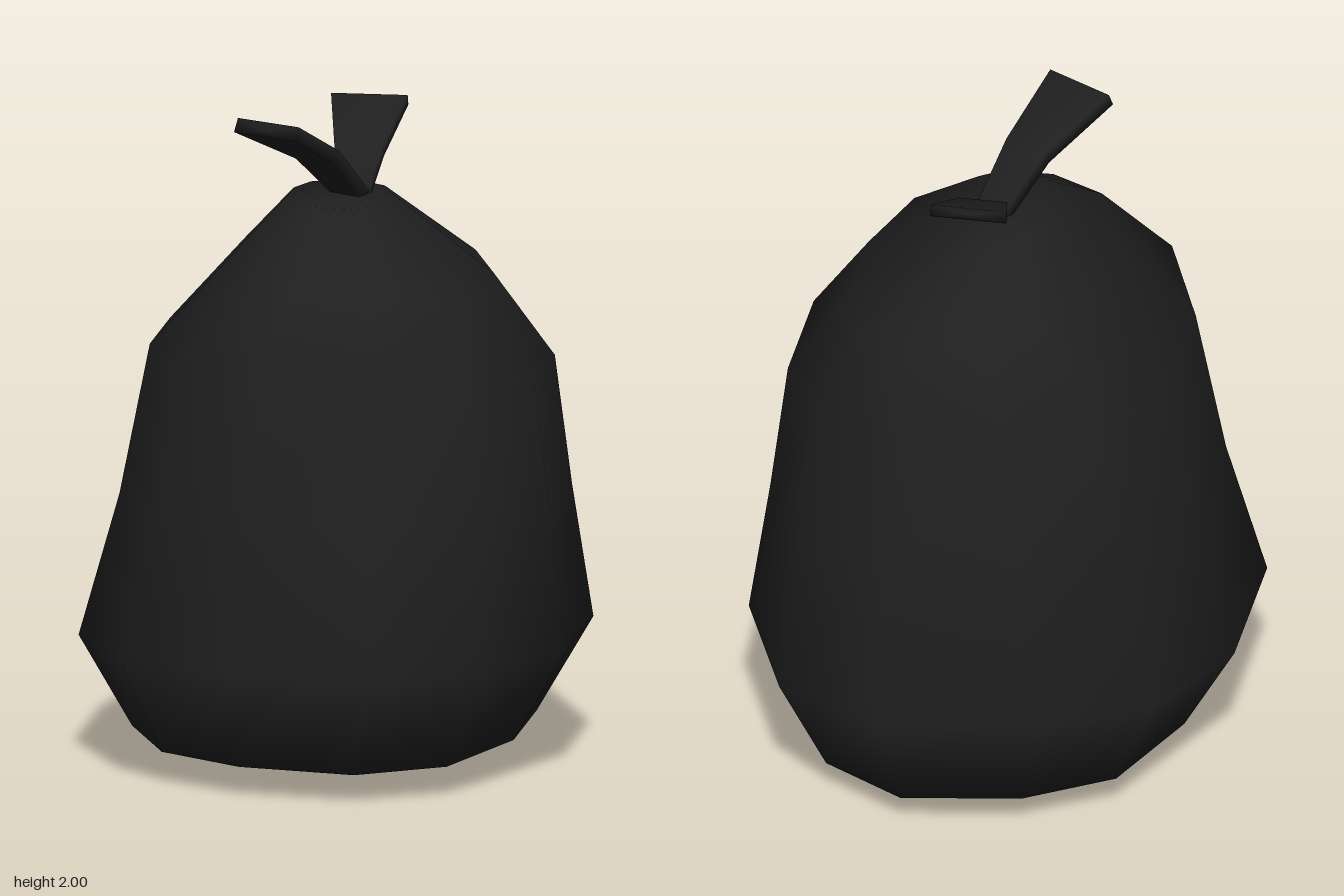
import * as THREE from 'three';

const material = new THREE.MeshStandardMaterial({ color: 0x1f1f1f });

// Skin a stack of equal-sized rings and close both ends, with smooth shared normals
function loft(name, rings) {
  const n = rings[0].length;
  const points = rings.flat();
  const index = [];
  for (let j = 0; j < rings.length - 1; j++) {
    for (let i = 0; i < n; i++) {
      const a = j * n + i, b = j * n + (i + 1) % n;
      index.push(a, a + n, b, b, a + n, b + n);
    }
  }
  const cap = (start, flip) => {
    const centre = new THREE.Vector3();
    for (let i = 0; i < n; i++) centre.addScaledVector(points[start + i], 1 / n);
    const c = points.push(centre) - 1;
    for (let i = 0; i < n; i++) {
      const a = start + i, b = start + (i + 1) % n;
      index.push(c, flip ? a : b, flip ? b : a);
    }
  };
  const last = (rings.length - 1) * n;
  cap(0, true);
  cap(last, false);
  const geometry = new THREE.BufferGeometry().setFromPoints(points);
  geometry.setIndex(index);
  geometry.computeVertexNormals();
  const mesh = new THREE.Mesh(geometry, material);
  mesh.name = name;
  return mesh;
}

// Twelve-sided plan of the sack: one quarter (unit x, unit z, skew share), mirrored around
const quarter = [[1, 0.304, 0], [0.755, 0.795, 1.3], [0.31, 1, 1]];
const mirrored = (sx, sz) => quarter.map(([x, z, k]) => [sx * x, sz * z, sx * k]);
const plan = [
  ...mirrored(1, 1), ...mirrored(-1, 1).reverse(),
  ...mirrored(-1, -1), ...mirrored(1, -1).reverse(),
];

// Sagging body: each row is height, left x, right x, half depth, depth skew, side tilt, front/back lift
function bagBody() {
  const rows = [
    [0.0, -0.2, 0.28, 0.32, 0, 0, 0],
    [0.105, -0.59, 0.58, 0.77, 0.04, 0.005, -0.015],
    [0.39, -0.75, 0.75, 0.857, 0.045, 0, 0],
    [0.81, -0.63, 0.69, 0.74, 0.01, 0.01, 0.04],
    [1.24, -0.54, 0.64, 0.677, -0.05, 0.04, 0.05],
    [1.505, -0.3, 0.46, 0.52, -0.02, 0.045, 0.02],
    [1.722, -0.14, 0.16, 0.22, 0, 0.004, 0],
  ];
  return loft('bagBody', rows.map(([y, x0, x1, depth, skew, tilt, lift]) =>
    plan.map(([px, pz, k]) => new THREE.Vector3(
      (x0 + x1) / 2 + px * (x1 - x0) / 2,
      y - px * tilt + pz * pz * lift,
      pz * depth * (1 + skew * k)))));
}

// Flat tie end that widens along a bent path
function tieTail(name, path, widths, across, thickness) {
  const p = path.map(v => new THREE.Vector3(...v));
  const w = new THREE.Vector3(...across).normalize();
  return loft(name, p.map((centre, j) => {
    const forward = p[Math.min(j + 1, p.length - 1)].clone().sub(p[Math.max(j - 1, 0)]).normalize();
    const v = w.clone().cross(forward).normalize();
    return [[1, -1], [1, 1], [-1, 1], [-1, -1]].map(([s, t]) => centre.clone()
      .addScaledVector(w, s * widths[j] / 2)
      .addScaledVector(v, t * thickness / 2));
  }));
}

export function createModel() {
  const group = new THREE.Group();
  group.name = 'tiedSack';
  group.add(
    bagBody(),
    tieTail('frontTieTail',
      [[0.045, 1.715, -0.045], [-0.04, 1.865, 0.11], [-0.165, 1.98, 0.322]],
      [0.1, 0.15, 0.235], [0.87, 0, 0.5], 0.045),
    tieTail('backTieTail',
      [[0.045, 1.715, -0.05], [0.045, 1.825, -0.175], [0.04, 1.937, -0.42]],
      [0.1, 0.15, 0.235], [1, 0, 0], 0.035));
  return group;
}
